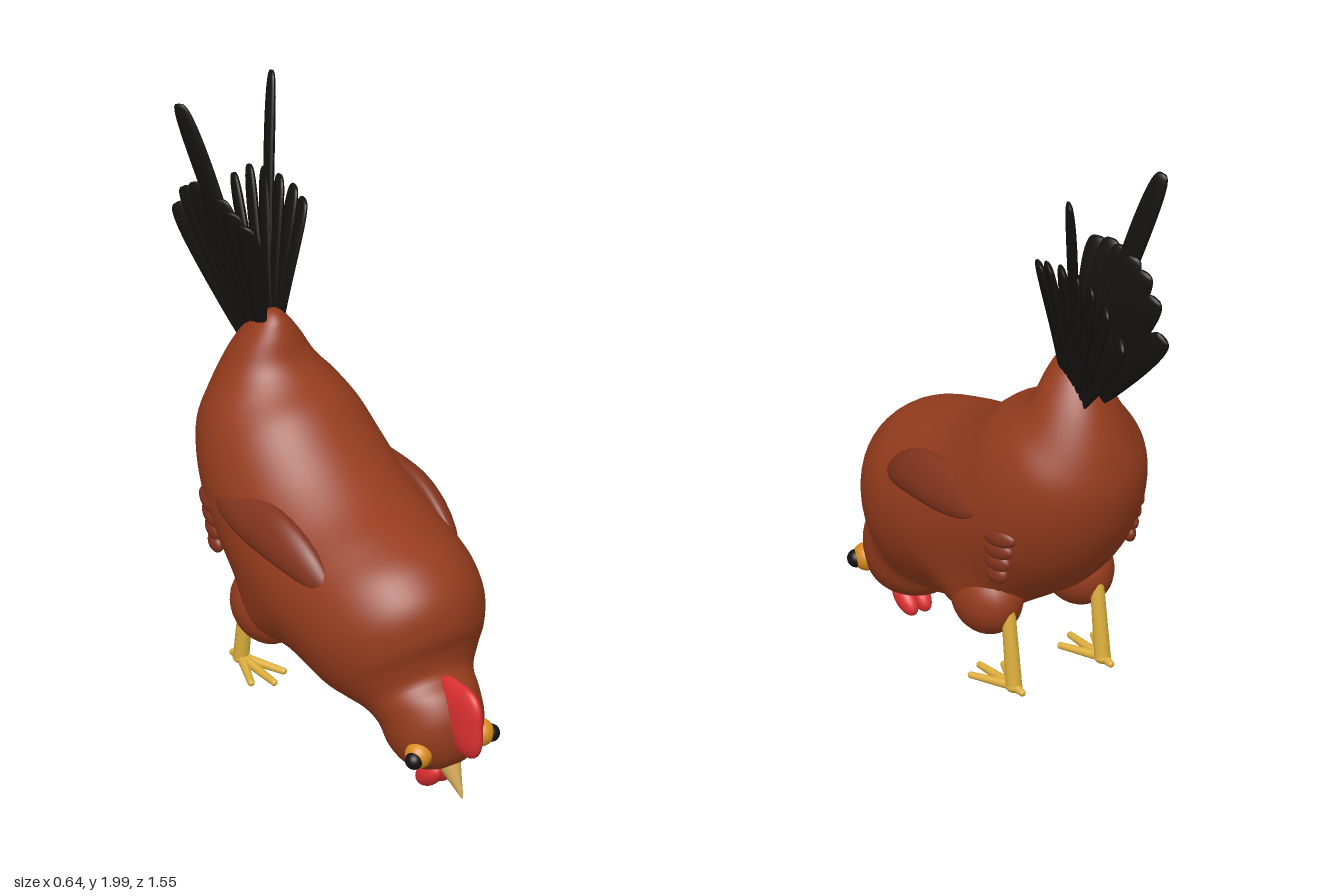
import * as THREE from 'three';

const mat = (color) => new THREE.MeshStandardMaterial({ color });
const V = (x, y, z) => new THREE.Vector3(x, y, z);

export function createModel() {
  const hen = new THREE.Group();
  hen.name = 'hen';
  const brown = mat(0x963c1d), wingBrown = mat(0x82341d), red = mat(0xdc3030);
  const yellow = mat(0xdcae3c), horn = mat(0xd3a757), orange = mat(0xd98c1f), black = mat(0x151211);

  const add = (name, geo, material, parent = hen) => {
    const mesh = new THREE.Mesh(geo, material);
    mesh.name = name;
    parent.add(mesh);
    return mesh;
  };
  const ellipsoid = (name, material, pos, radii, tilt = 0, parent = hen) => {
    const m = add(name, new THREE.SphereGeometry(1, 28, 20), material, parent);
    m.position.set(...pos);
    m.scale.set(...radii);
    m.rotation.x = tilt;
    return m;
  };
  // Tapered rod between two points
  const rod = (name, material, a, b, ra, rb, parent = hen) => {
    const d = b.clone().sub(a);
    const m = add(name, new THREE.CylinderGeometry(rb, ra, d.length(), 16), material, parent);
    m.position.copy(a).addScaledVector(d, 0.5);
    m.quaternion.setFromUnitVectors(V(0, 1, 0), d.normalize());
  };
  // Move every vertex of a geometry by a rule
  const warp = (geo, rule) => {
    const p = geo.attributes.position, v = V(0, 0, 0);
    for (let i = 0; i < p.count; i++) {
      const q = rule(v.fromBufferAttribute(p, i));
      p.setXYZ(i, q[0], q[1], q[2]);
    }
    geo.computeVertexNormals();
    return geo;
  };

  // Body and head: [upper z, upper y, lower z, lower y, half width] from face to tail root
  const sections = [
    [0.605, 0.102, 0.605, 0.102, 0], [0.655, 0.15, 0.53, 0.088, 0.08], [0.68, 0.22, 0.47, 0.09, 0.127],
    [0.68, 0.31, 0.4, 0.125, 0.155], [0.64, 0.385, 0.36, 0.18, 0.165], [0.58, 0.43, 0.32, 0.213, 0.185],
    [0.575, 0.5, 0.25, 0.226, 0.222], [0.592, 0.58, 0.16, 0.235, 0.258], [0.57, 0.69, 0.08, 0.26, 0.29],
    [0.48, 0.78, 0, 0.285, 0.308], [0.35, 0.83, -0.1, 0.32, 0.316], [0.2, 0.875, -0.21, 0.39, 0.314],
    [0.08, 0.935, -0.32, 0.46, 0.307], [-0.02, 1.005, -0.43, 0.57, 0.295], [-0.1, 1.07, -0.52, 0.72, 0.272],
    [-0.19, 1.12, -0.56, 0.87, 0.23], [-0.24, 1.17, -0.55, 0.99, 0.17], [-0.27, 1.25, -0.51, 1.12, 0.11],
    [-0.3, 1.3, -0.47, 1.2, 0.065], [-0.34, 1.315, -0.43, 1.25, 0.035], [-0.39, 1.29, -0.39, 1.29, 0],
  ];
  const upper = new THREE.CatmullRomCurve3(sections.map((s) => V(s[4], s[1], s[0])));
  const lower = new THREE.CatmullRomCurve3(sections.map((s) => V(s[4], s[3], s[2])));
  const rings = 100, sides = 56, pos = [], idx = [];
  for (let i = 0; i <= rings; i++) {
    const a = upper.getPoint(i / rings), b = lower.getPoint(i / rings);
    for (let j = 0; j < sides; j++) {
      const ang = (j / sides) * Math.PI * 2, k = (1 + Math.cos(ang)) / 2;
      pos.push(a.x * Math.sin(ang), b.y + (a.y - b.y) * k, b.z + (a.z - b.z) * k);
      if (i === rings) continue;
      const p = i * sides + j, q = i * sides + ((j + 1) % sides);
      idx.push(p, q, p + sides, q, q + sides, p + sides);
    }
  }
  const bodyGeo = new THREE.BufferGeometry();
  bodyGeo.setAttribute('position', new THREE.Float32BufferAttribute(pos, 3));
  bodyGeo.setIndex(idx);
  // Swell the flanks softly where the thighs sit
  warp(bodyGeo, ({ x, y, z }) => {
    const d2 = (Math.abs(x) - 0.2) ** 2 + (y - 0.39) ** 2 + (z + 0.11) ** 2;
    const f = 0.06 * Math.exp(-d2 / 0.015);
    return [x + Math.sign(x) * f * 0.75, y - f * 0.55, z - f * 0.25];
  });
  add('body', bodyGeo, brown);

  // Comb: lens with a squarish outline over the forehead
  add('comb', warp(new THREE.SphereGeometry(1, 36, 28), (v) => {
    const k = 1 + 0.16 * Math.sin(2 * Math.atan2(v.y, v.z)) ** 2;
    return [v.x * 0.039, 0.315 + v.y * k * 0.123, 0.663 + v.z * k * 0.115];
  }), red);

  // Beak
  rod('beak', horn, V(0, 0.16, 0.585), V(0, 0.028, 0.68), 0.05, 0.003);

  // Tail feather: a flattened, slightly turned blade widening to a rounded tip
  const feather = (name, s, root, tip, width, parent) => {
    const dz = tip[2] - root[2], dy = tip[1] - root[1], len = Math.hypot(dy, dz);
    const geo = warp(new THREE.SphereGeometry(1, 20, 24), (v) => {
      const t = (v.y + 1) / 2, r = Math.max(Math.hypot(v.x, v.z), 1e-4);
      const grow = (0.5 + 0.5 * t) / Math.sqrt(r);
      const w = v.x * width * grow;
      return [
        s * (root[0] + (tip[0] - root[0]) * t ** 1.35 + w * 0.3) + v.z * 0.02 * grow,
        root[1] + dy * t + (w * dz) / len,
        root[2] + dz * t - (w * dy) / len,
      ];
    });
    add(name, geo, black, parent);
  };

  for (const s of [1, -1]) {
    const side = s > 0 ? 'left' : 'right';
    const part = (n) => side + n;

    // Eye
    ellipsoid(part('Eye'), orange, [s * 0.12, 0.195, 0.612], [0.042, 0.045, 0.045]);
    ellipsoid(part('Pupil'), black, [s * 0.148, 0.19, 0.627], [0.028, 0.029, 0.029]);
    // Wattle, hanging down and back
    ellipsoid(part('Wattle'), red, [s * 0.025, 0.056, 0.535], [0.032, 0.037, 0.067], -0.65);

    // Wing: drooping teardrop lying on the flank
    const wing = warp(new THREE.SphereGeometry(1, 32, 24), (v) => {
      const u = v.z, front = Math.max(u, 0);
      return [
        s * (0.27 - 0.025 * front * front + 0.012 * Math.min(u, 0) ** 2 - v.y * 0.02) + v.x * 0.045,
        0.772 + v.y * 0.078 - 0.075 * front * front - 0.01 * u,
        0.03 + 0.275 * u,
      ];
    });
    add(part('Wing'), wing, wingBrown);
    // Wing feather tips, stacked and shortening downwards
    for (let i = 0; i < 4; i++) {
      const half = 0.066 - i * 0.008;
      const tip = ellipsoid(part('WingTip' + (i + 1)), wingBrown,
        [s * (0.257 - i * 0.003), 0.718 - i * 0.047, -0.255 - half], [0.022, 0.032, half], 0.1);
      tip.rotation.y = s * 0.25;
    }

    // Thigh, leg and toes
    ellipsoid(part('Thigh'), brown, [s * 0.172, 0.405, -0.13], [0.105, 0.125, 0.135], 0.25);
    const leg = new THREE.Group();
    leg.name = part('Leg');
    hen.add(leg);
    const ankle = V(s * 0.168, 0.143, -0.273);
    rod('shank', yellow, V(s * 0.168, 0.44, -0.235), ankle, 0.022, 0.026, leg);
    ellipsoid('ankle', yellow, ankle.toArray(), [0.027, 0.02, 0.027], 0, leg);
    for (const [x, z] of [[0.232, -0.13], [0.172, -0.09], [0.108, -0.13], [0.168, -0.318]]) {
      const tip = V(s * x, 0.138, z);
      rod('toe', yellow, ankle, tip, 0.016, 0.011, leg);
      ellipsoid('toeTip', yellow, tip.toArray(), [0.011, 0.011, 0.011], 0, leg);
    }

    // Tail fan: [tip x, tip y, tip z], swung slightly differently on each side
    const tail = new THREE.Group();
    tail.name = part('Tail');
    hen.add(tail);
    const fan = [[0.125, 1.67, -0.31], [0.13, 1.69, -0.38], [0.12, 1.7, -0.455], [0.11, 1.7, -0.535],
      [0.1, 1.68, -0.615], [0.085, 1.625, -0.69], [0.065, 1.525, -0.76]];
    fan.forEach(([x, y, z], i) => {
      const k = i / 6, swing = s > 0 ? 0.035 * (1 - 2 * k) : 0;
      feather('tailFeather' + (i + 1), s, [0.03 + 0.01 * (1 - k), 1.24 - 0.08 * k, -0.35 - 0.085 * k],
        [x, y, z - swing], 0.054, tail);
    });
    feather('longTailFeather', s, [0.04, 1.22, -0.39], [0.178, 2, -0.592], 0.045, tail);
  }
  return hen;
}
